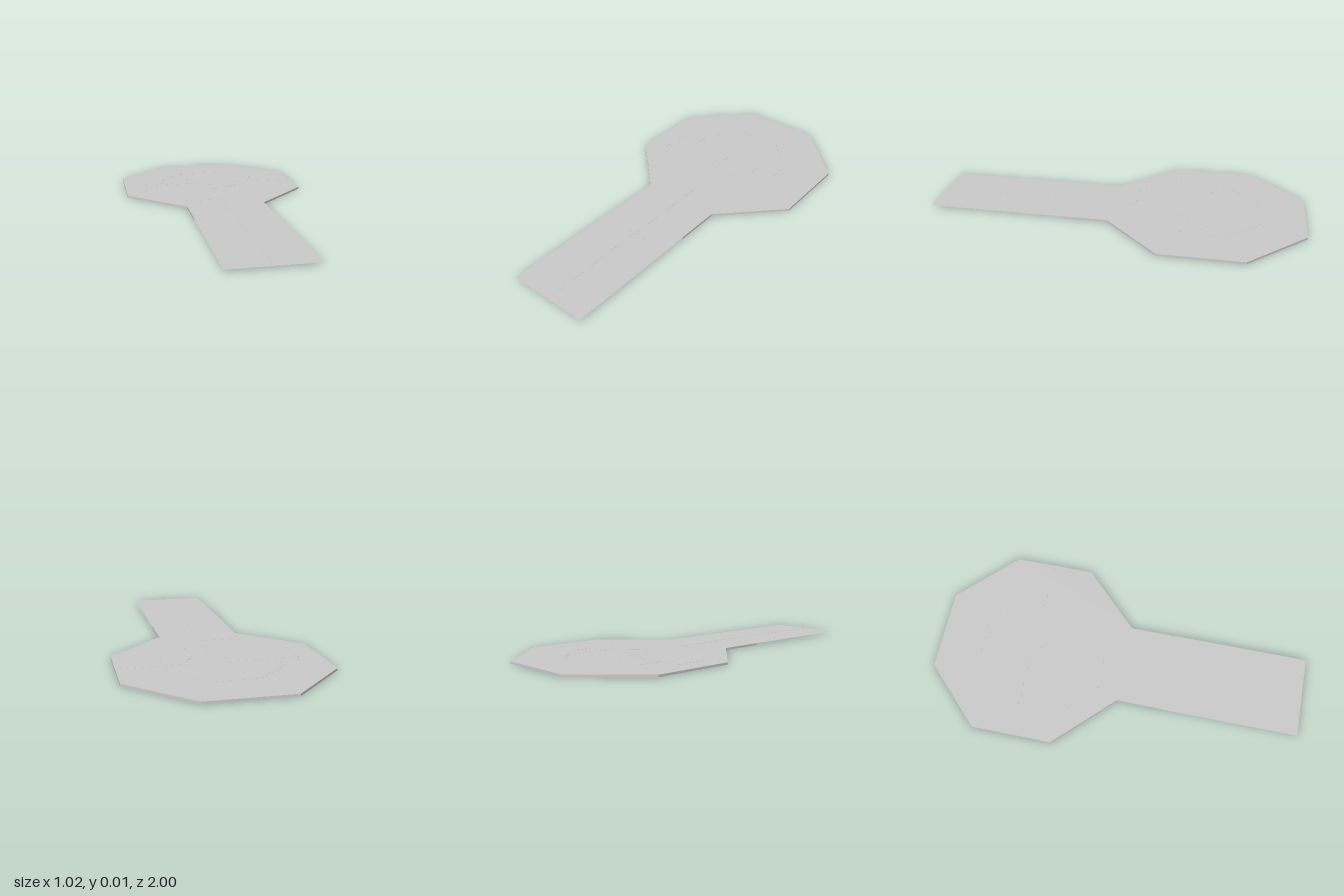
import * as THREE from 'three';

const TOP = 0.011;
const grey = new THREE.MeshStandardMaterial({ color: 0xcccccc, flatShading: true });
const greyDouble = new THREE.MeshStandardMaterial({ color: 0xcccccc, flatShading: true, side: THREE.DoubleSide });

export function createModel() {
  const model = new THREE.Group();

  const add = (name, geometry, material = grey, parent = model) => {
    const mesh = new THREE.Mesh(geometry, material);
    mesh.name = name;
    parent.add(mesh);
    return mesh;
  };

  // Octagonal slab with the short solid root of the walkway, in (x, z)
  const half = [[0.215, -1], [0.512, -0.703], [0.512, -0.273], [0.215, 0.025], [0.215, 0.27]];
  const outline = [...half, ...half.map(([x, z]) => [-x, z]).reverse()];
  const shape = new THREE.Shape(outline.map(([x, z]) => new THREE.Vector2(x, -z)));
  const slab = new THREE.ExtrudeGeometry(shape, { depth: TOP, bevelEnabled: false });
  slab.rotateX(-Math.PI / 2);
  add('octagonPlatform', slab);

  // Thin walkway sheet, level with the top of the slab
  const sheet = new THREE.PlaneGeometry(0.435, 0.73);
  sheet.rotateX(-Math.PI / 2);
  add('walkway', sheet, greyDouble).position.set(-0.0005, TOP, 0.635);

  // Seam lines: narrow strips just proud of the surface
  const seams = new THREE.Group();
  seams.name = 'seams';
  model.add(seams);
  const seam = (name, points, width) => {
    for (let i = 0; i < points.length - 1; i++) {
      const [x0, z0] = points[i], [x1, z1] = points[i + 1];
      const strip = new THREE.BoxGeometry(Math.hypot(x1 - x0, z1 - z0), 0.001, width);
      const mesh = add(name, strip, grey, seams);
      mesh.position.set((x0 + x1) / 2, TOP, (z0 + z1) / 2);
      mesh.rotation.y = -Math.atan2(z1 - z0, x1 - x0);
    }
  };
  seam('walkwaySeam', [[0, 1], [0, -0.09]], 0.01);
  seam('outerSeam', [[0, -0.09], [-0.165, -0.09], [-0.4, -0.325], [-0.4, -0.49], [-0.04, -0.49]], 0.003);
  seam('innerSeam', [[-0.04, -0.49], [-0.04, -0.37], [0, -0.33], [0.07, -0.33],
    [0.155, -0.425], [0.155, -0.49], [0.512, -0.49]], 0.003);
  seam('ringSeam', [[-0.28, -0.49], [-0.28, -0.605], [-0.115, -0.77], [0.115, -0.77],
    [0.28, -0.605], [0.28, -0.49]], 0.005);

  // Tiny surface studs
  const studs = [[0, -0.45], [-0.06, 0.4], [-0.03, 0.4], [0.03, 0.4], [0.06, 0.4]];
  for (const s of [-1, 1]) studs.push([s * 0.115, -0.605], [s * 0.27, -0.365], [s * 0.125, -0.225]);
  for (const [x, z] of studs) {
    add('stud', new THREE.BoxGeometry(0.007, 0.001, 0.007)).position.set(x, TOP, z);
  }

  return model;
}
